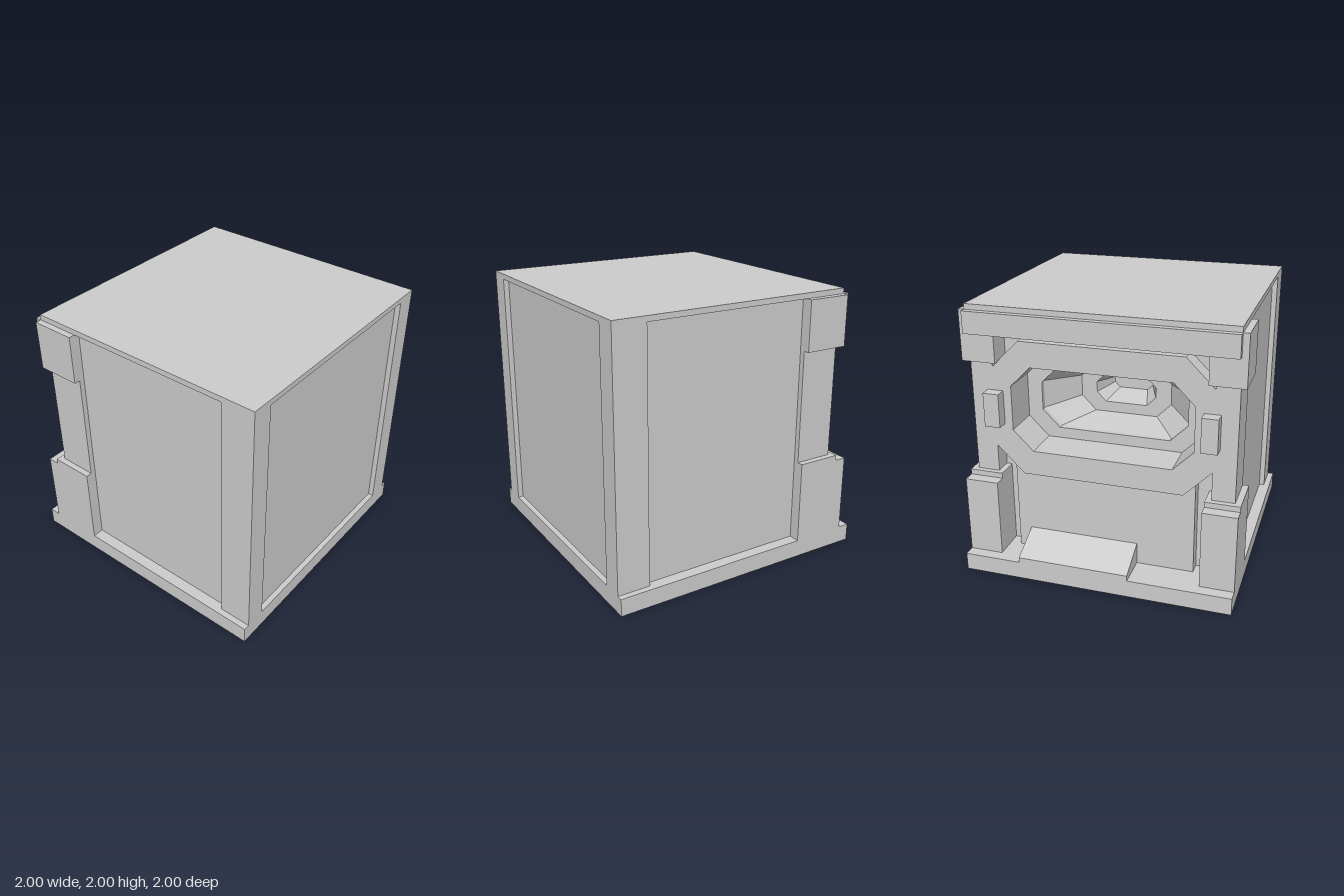
import * as THREE from 'three';

const MID = 1.255; // height of the octagonal opening's centre

// Corners of a chamfered rectangle, counter-clockwise seen from +z
function octagon(hx, hy, c) {
  return [
    [hx - c, -hy], [hx, -hy + c], [hx, hy - c], [hx - c, hy],
    [-hx + c, hy], [-hx, hy - c], [-hx, -hy + c], [-hx + c, -hy],
  ].map(([x, y]) => new THREE.Vector2(x, y + MID));
}

// Flat-faced lining through octagonal rings [halfWidth, halfHeight, chamfer, z], closed at the end
function liningGeometry(rings) {
  const loops = rings.map(([hx, hy, c, z]) =>
    octagon(hx, hy, c).map((p) => new THREE.Vector3(p.x, p.y, z)));
  const pos = [];
  const tri = (...pts) => pts.forEach((p) => pos.push(p.x, p.y, p.z));
  for (let r = 0; r < loops.length - 1; r++) {
    for (let i = 0; i < 8; i++) {
      const j = (i + 1) % 8;
      const a = loops[r][i], b = loops[r][j], c = loops[r + 1][j], d = loops[r + 1][i];
      tri(a, c, b);
      tri(a, d, c);
    }
  }
  const last = loops[loops.length - 1];
  for (let i = 1; i < 7; i++) tri(last[0], last[i + 1], last[i]);
  const g = new THREE.BufferGeometry();
  g.setAttribute('position', new THREE.Float32BufferAttribute(pos, 3));
  g.computeVertexNormals();
  return g;
}

export function createModel() {
  const model = new THREE.Group();
  model.name = 'cabinet';
  const mat = new THREE.MeshStandardMaterial({ color: 0xcccccc, flatShading: true });
  const thin = mat.clone();
  thin.side = THREE.DoubleSide;

  const add = (name, geometry, material = mat) => {
    const mesh = new THREE.Mesh(geometry, material);
    mesh.name = name;
    model.add(mesh);
    return mesh;
  };
  // Box given by its limits
  const box = (name, x0, x1, y0, y1, z0, z1) => {
    const g = new THREE.BoxGeometry(x1 - x0, y1 - y0, z1 - z0);
    g.translate((x0 + x1) / 2, (y0 + y1) / 2, (z0 + z1) / 2);
    return add(name, g);
  };
  // The same box on both sides
  const pair = (name, x0, x1, ...rest) => {
    box(name + 'Left', x0, x1, ...rest);
    box(name + 'Right', -x1, -x0, ...rest);
  };
  // Plate with the octagonal opening
  const pierced = (name, outline, z0, z1) => {
    const shape = new THREE.Shape(outline);
    shape.holes.push(new THREE.Path(octagon(0.66, 0.315, 0.15)));
    const g = new THREE.ExtrudeGeometry(shape, { depth: z1 - z0, bevelEnabled: false });
    g.translate(0, 0, z0);
    add(name, g);
  };
  const rect = (hx, y0, y1) =>
    [[-hx, y0], [hx, y0], [hx, y1], [-hx, y1]].map(([x, y]) => new THREE.Vector2(x, y));

  // Base, roof and recessed body panels
  box('base', -1, 1, 0, 0.13, -1, 1);
  box('roof', -0.955, 0.955, 1.96, 2, -0.83, 1);
  box('bodyPanels', -0.915, 0.915, 0.13, 1.96, 0.1, 0.96);
  pierced('bodyRear', rect(0.915, 0.13, 1.96), -0.66, 0.1);

  // Corner posts
  pair('frontPost', 0.795, 0.955, 0.13, 1.96, 0.755, 1);
  pair('rearPost', 0.79, 0.955, 0.13, 1.96, -0.79, -0.5);

  // Rear corner armour
  pair('upperCornerBlock', 0.75, 1, 1.59, 1.96, -0.83, -0.5);
  pair('lowerCornerBlock', 0.75, 1, 0.13, 0.75, -0.83, -0.5);
  pair('lowerCornerPlate', 0.75, 1, 0.13, 0.71, -0.915, -0.83);
  pair('latch', 0.72, 0.836, 1.13, 1.38, -0.875, -0.79);
  box('topBar', -0.955, 0.955, 1.8, 1.96, -0.875, -0.66);

  // Octagonal opening: frame and stepped funnel
  pierced('openingFrame', octagon(0.79, 0.5, 0.2), -0.79, -0.66);
  add('openingFunnel', liningGeometry([
    [0.66, 0.315, 0.15, -0.5],
    [0.55, 0.235, 0.13, -0.5],
    [0.55, 0.235, 0.13, -0.46],
    [0.35, 0.19, 0.11, -0.2],
    [0.23, 0.11, 0.07, -0.2],
    [0.15, 0.06, 0.04, 0.0],
  ]), thin);

  // Lower rear panel with sloping tray
  box('lowerPanel', -0.67, 0.67, 0.13, 0.9, -0.75, -0.66);
  const profile = new THREE.Shape(
    [[1, 0.13], [1, 0.17], [0.75, 0.29], [0.75, 0.13]].map(([z, y]) => new THREE.Vector2(z, y)));
  const ramp = new THREE.ExtrudeGeometry(profile, { depth: 0.825, bevelEnabled: false });
  ramp.rotateY(Math.PI / 2); // profile axis now runs along -z
  ramp.translate(-0.25, 0, 0);
  add('tray', ramp);

  return model;
}
